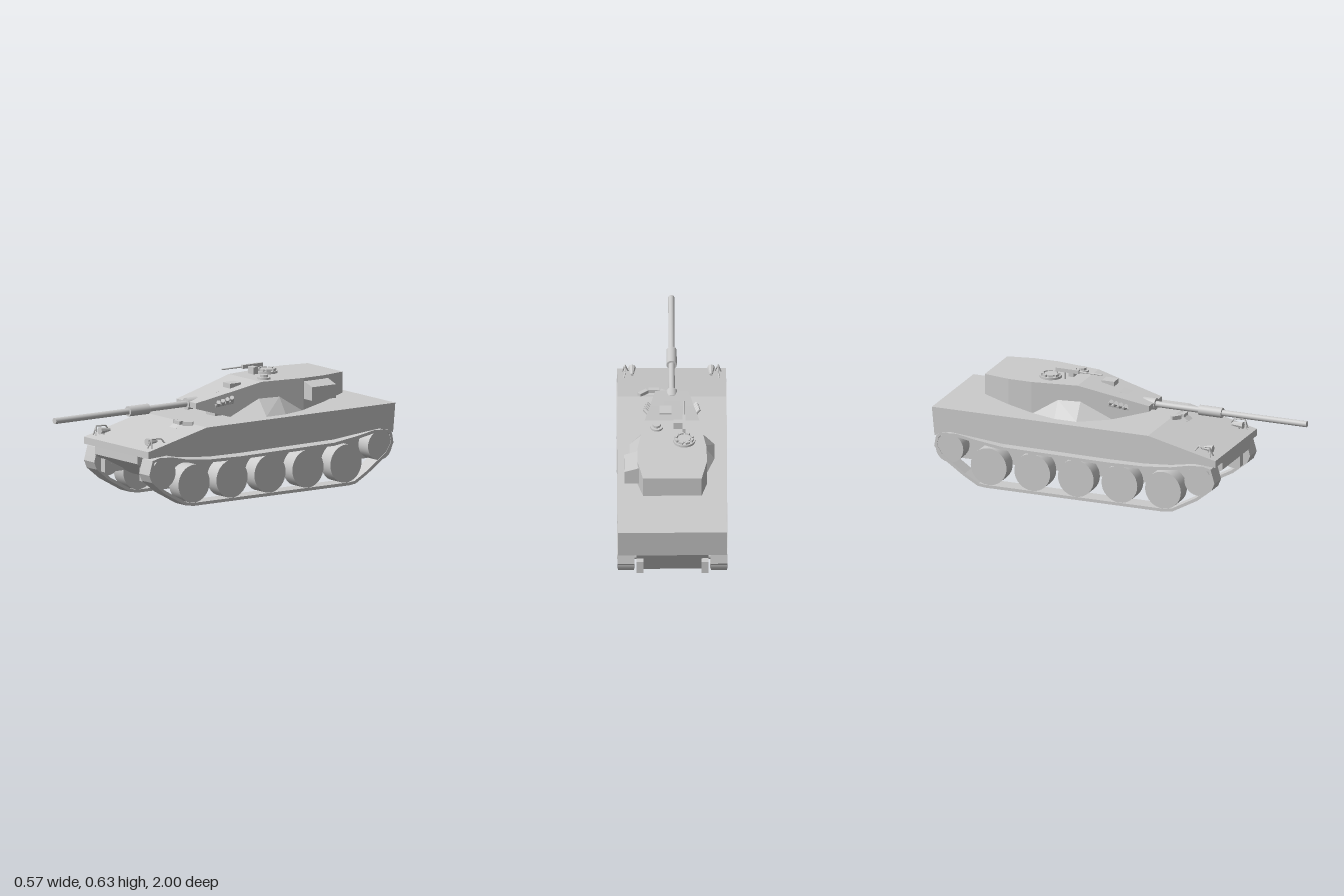
import * as THREE from 'three';
import { ConvexGeometry } from 'three/addons/geometries/ConvexGeometry.js';

const flat = new THREE.MeshStandardMaterial({ color: 0xcccccc, flatShading: true });
const smooth = new THREE.MeshStandardMaterial({ color: 0xcccccc });
const V = (x, y, z) => new THREE.Vector3(x, y, z);

export function createModel() {
  const model = new THREE.Group();
  model.name = 'tank';

  function add(name, geometry, material = flat, parent = model) {
    const mesh = new THREE.Mesh(geometry, material);
    mesh.name = name;
    parent.add(mesh);
    return mesh;
  }

  // Box from its minimum and maximum corners
  function box(name, x0, x1, y0, y1, z0, z1, parent) {
    const mesh = add(name, new THREE.BoxGeometry(x1 - x0, y1 - y0, z1 - z0), flat, parent);
    mesh.position.set((x0 + x1) / 2, (y0 + y1) / 2, (z0 + z1) / 2);
    return mesh;
  }

  // Cylinder between two points
  function rod(name, a, b, r, sides = 16, parent = model, r2 = r) {
    const mesh = add(name, new THREE.CylinderGeometry(r2, r, a.distanceTo(b), sides), sides > 8 ? smooth : flat, parent);
    mesh.position.copy(a).lerp(b, 0.5);
    mesh.quaternion.setFromUnitVectors(V(0, 1, 0), b.clone().sub(a).normalize());
    return mesh;
  }

  const outline = pts => pts.map(p => new THREE.Vector2(p[0], p[1]));

  // Side profile of [z, y] points, extruded across x0..x1
  function profile(name, pts, x0, x1, hole) {
    const shape = new THREE.Shape(outline(pts));
    if (hole) shape.holes.push(new THREE.Path(outline(hole)));
    const g = new THREE.ExtrudeGeometry(shape, { depth: x1 - x0, bevelEnabled: false });
    g.rotateY(-Math.PI / 2).translate(x1, 0, 0);
    return add(name, g);
  }

  // Hull
  profile('upperHull', [[0.6, 0.315], [0.22, 0.405], [-1, 0.405], [-0.985, 0.25], [-0.9, 0.28],
    [-0.78, 0.27], [-0.6, 0.253], [0, 0.248], [0.2, 0.25], [0.35, 0.262], [0.48, 0.285], [0.6, 0.278]], -0.283, 0.283);
  profile('lowerHull', [[0.599, 0.3], [0.6, 0.237], [0.58, 0.222], [0.36, 0.11], [-0.91, 0.11],
    [-0.975, 0.25], [-0.96, 0.3]], -0.187, 0.187);

  // Running gear
  const outer = [[0.597, 0.19], [0.59, 0.215], [0.575, 0.266], [0.53, 0.277], [0.45, 0.272], [0.35, 0.25],
    [0.2, 0.235], [0, 0.23], [-0.6, 0.236], [-0.76, 0.257], [-0.86, 0.275], [-0.95, 0.27], [-0.975, 0.25],
    [-0.985, 0.195], [-0.95, 0.14], [-0.82, 0.05], [-0.74, 0.005], [-0.7, 0], [0.31, 0], [0.36, 0.008],
    [0.5, 0.085], [0.58, 0.15]];
  // Inner edge of the track: each point moved in along its corner bisector
  const inner = outer.map((p, i) => {
    const a = outer[(i + outer.length - 1) % outer.length], b = outer[(i + 1) % outer.length];
    const dz = b[0] - a[0], dy = b[1] - a[1], l = Math.hypot(dz, dy);
    return [p[0] - dy / l * -0.016 * -1 * Math.sign(turn(outer)), p[1] + dz / l * 0.016 * Math.sign(turn(outer))];
  });
  for (const s of [-1, 1]) {
    const side = s > 0 ? 'left' : 'right';
    profile(side + 'Track', outer, Math.min(s * 0.197, s * 0.287), Math.max(s * 0.197, s * 0.287), inner);
    const wheels = [[0.503, 0.19, 0.078], [-0.9, 0.19, 0.078]];
    for (let i = 0; i < 5; i++) wheels.push([0.305 - i * 0.246, 0.117, 0.101]);
    for (const [z, y, r] of wheels) {
      rod(side + 'Wheel', V(s * 0.2, y, z), V(s * 0.284, y, z), r, 32);
      rod(side + 'Axle', V(s * 0.15, y, z), V(s * 0.21, y, z), 0.02, 12);
    }
    for (const z of [0.5, -0.93]) {
      const x = s * 0.169;
      box(side + 'AxleHousing', x - 0.018, x + 0.018, 0.14, 0.21, z - 0.06, z + 0.06);
    }
  }

  // Turret body: rectangular sections [z, half width, bottom, top]
  const sections = [[0.145, 0.086, 0.466, 0.496], [-0.05, 0.115, 0.408, 0.537], [-0.235, 0.143, 0.408, 0.577],
    [-0.48, 0.18, 0.408, 0.577], [-0.61, 0.18, 0.437, 0.577], [-0.755, 0.153, 0.467, 0.577]];
  const pos = [], index = [];
  sections.forEach(([z, w, y0, y1], i) => {
    pos.push(-w, y0, z, w, y0, z, w, y1, z, -w, y1, z);
    if (i) for (let k = 0; k < 4; k++) {
      const a = (i - 1) * 4 + k, b = (i - 1) * 4 + (k + 1) % 4;
      index.push(a, a + 4, b, b, a + 4, b + 4);
    }
  });
  const e = (sections.length - 1) * 4;
  index.push(0, 1, 2, 0, 2, 3, e, e + 2, e + 1, e, e + 3, e + 2);
  const body = new THREE.BufferGeometry();
  body.setAttribute('position', new THREE.Float32BufferAttribute(pos, 3));
  body.setIndex(index);
  const turretGeo = body.toNonIndexed();
  turretGeo.computeVertexNormals();
  add('turret', turretGeo);

  for (const s of [-1, 1]) {
    // Flared skirt at the turret base
    add('turretFlare', new ConvexGeometry([[0.141, 0.49, -0.22], [0.159, 0.49, -0.34], [0.114, 0.406, -0.05],
      [0.222, 0.406, -0.21], [0.222, 0.406, -0.335], [0.178, 0.406, -0.475], [0.09, 0.406, -0.26],
      [0.09, 0.48, -0.26]].map(p => V(s * p[0], p[1], p[2]))));
    // Bank of four smoke launchers
    const bank = new THREE.Group();
    bank.name = 'smokeLaunchers';
    model.add(bank);
    for (let i = 0; i < 4; i++) {
      const z = 0.02 - i * 0.026, x = s * (0.105 + i * 0.004), y = 0.475 + i * 0.006;
      rod('launcherTube', V(x, y, z - 0.005), V(x + s * 0.027, y + 0.022, z + 0.014), 0.011, 12, bank);
    }
    rod('launcherRail', V(s * 0.098, 0.472, 0.035), V(s * 0.118, 0.486, -0.07), 0.011, 6, bank);
  }

  // Main gun
  const gy = 0.482;
  rod('barrel', V(0, gy, 0), V(0, gy, 1), 0.016, 24);
  rod('barrelSleeve', V(0, gy, 0.395), V(0, gy, 0.524), 0.027, 24);
  rod('gunCollar', V(0, gy, 0.08), V(0, gy, 0.15), 0.031, 24);
  const mantlet = box('mantlet', -0.04, 0.04, 0.508, 0.522, -0.05, 0.09);
  mantlet.rotation.x = 0.215;
  box('turretRing', -0.04, 0.04, 0.4, 0.423, -0.1, -0.01);

  // Gunner's sight and stowage box
  box('gunnerSight', 0.003, 0.066, 0.53, 0.571, -0.16, -0.09);
  add('stowageBox', new ConvexGeometry([-0.485, -0.64].flatMap(z =>
    [V(0.15, 0.465, z), V(0.25, 0.465, z), V(0.25, 0.537, z), V(0.18, 0.559, z), V(0.15, 0.559, z)])));

  // Hatches
  rod('loaderHatch', V(0.08, 0.57, -0.3), V(0.08, 0.587, -0.3), 0.034, 20);
  rod('loaderHatchLid', V(0.08, 0.587, -0.3), V(0.08, 0.6, -0.3), 0.021, 8);
  rod('commanderCupola', V(-0.063, 0.57, -0.42), V(-0.063, 0.589, -0.42), 0.058, 28);
  rod('commanderHatch', V(-0.063, 0.585, -0.42), V(-0.063, 0.597, -0.42), 0.034, 20);
  for (let i = 0; i < 8; i++) {
    const a = (i + 0.5) * Math.PI / 4;
    const block = box('periscope', -0.012, 0.012, 0.587, 0.601, -0.006, 0.006);
    block.position.x = -0.063 + Math.sin(a) * 0.044;
    block.position.z = -0.42 + Math.cos(a) * 0.044;
    block.rotation.y = a;
  }

  // Roof machine gun
  rod('gunPost', V(-0.063, 0.575, -0.34), V(-0.063, 0.62, -0.34), 0.006, 8);
  box('machineGunBody', -0.071, -0.054, 0.614, 0.634, -0.39, -0.26);
  rod('machineGunBarrel', V(-0.063, 0.624, -0.26), V(-0.063, 0.624, -0.13), 0.004, 10);
  box('ammoBox', -0.054, -0.008, 0.588, 0.625, -0.325, -0.295);

  // Driver's periscopes on the glacis
  add('driverHatch', new ConvexGeometry([[0.01, 0.4, 0.22], [0.18, 0.4, 0.22], [0.12, 0.386, 0.305],
    [0.065, 0.386, 0.305], [0.01, 0.385, 0.22], [0.18, 0.385, 0.22], [0.12, 0.402, 0.28],
    [0.065, 0.402, 0.28]].map(p => V(...p))));
  for (const i of [-1, 0, 1]) {
    const b = box('driverPeriscope', -0.027, 0.027, 0.398, 0.42, -0.011, 0.011);
    b.position.x = 0.094 + i * 0.056;
    b.position.z = i ? 0.245 : 0.268;
    b.rotation.y = i * 0.7;
  }

  // Headlights with guards
  for (const s of [-1, 1]) {
    const lamp = new THREE.Group();
    lamp.name = 'headlight';
    model.add(lamp);
    const x = s * 0.206;
    rod('lampBody', V(x, 0.352, 0.49), V(x, 0.352, 0.555), 0.008, 8, lamp, 0.02);
    rod('lampStem', V(x, 0.315, 0.53), V(x, 0.345, 0.53), 0.006, 8, lamp);
    const foot = V(s * 0.257, 0.322, 0.56), top = V(s * 0.243, 0.372, 0.55);
    rod('guardFrontLeg', foot, top, 0.004, 6, lamp);
    rod('guardInnerLeg', top, V(s * 0.226, 0.322, 0.565), 0.004, 6, lamp);
    rod('guardTopBar', top, V(s * 0.243, 0.37, 0.49), 0.004, 6, lamp);
    rod('guardRearLeg', V(s * 0.243, 0.37, 0.49), V(s * 0.25, 0.335, 0.46), 0.004, 6, lamp);
  }
  return model;
}

// Signed area of a closed outline, positive when counter-clockwise
function turn(pts) {
  return pts.reduce((sum, p, i) => {
    const q = pts[(i + 1) % pts.length];
    return sum + p[0] * q[1] - q[0] * p[1];
  }, 0) / 2;
}
